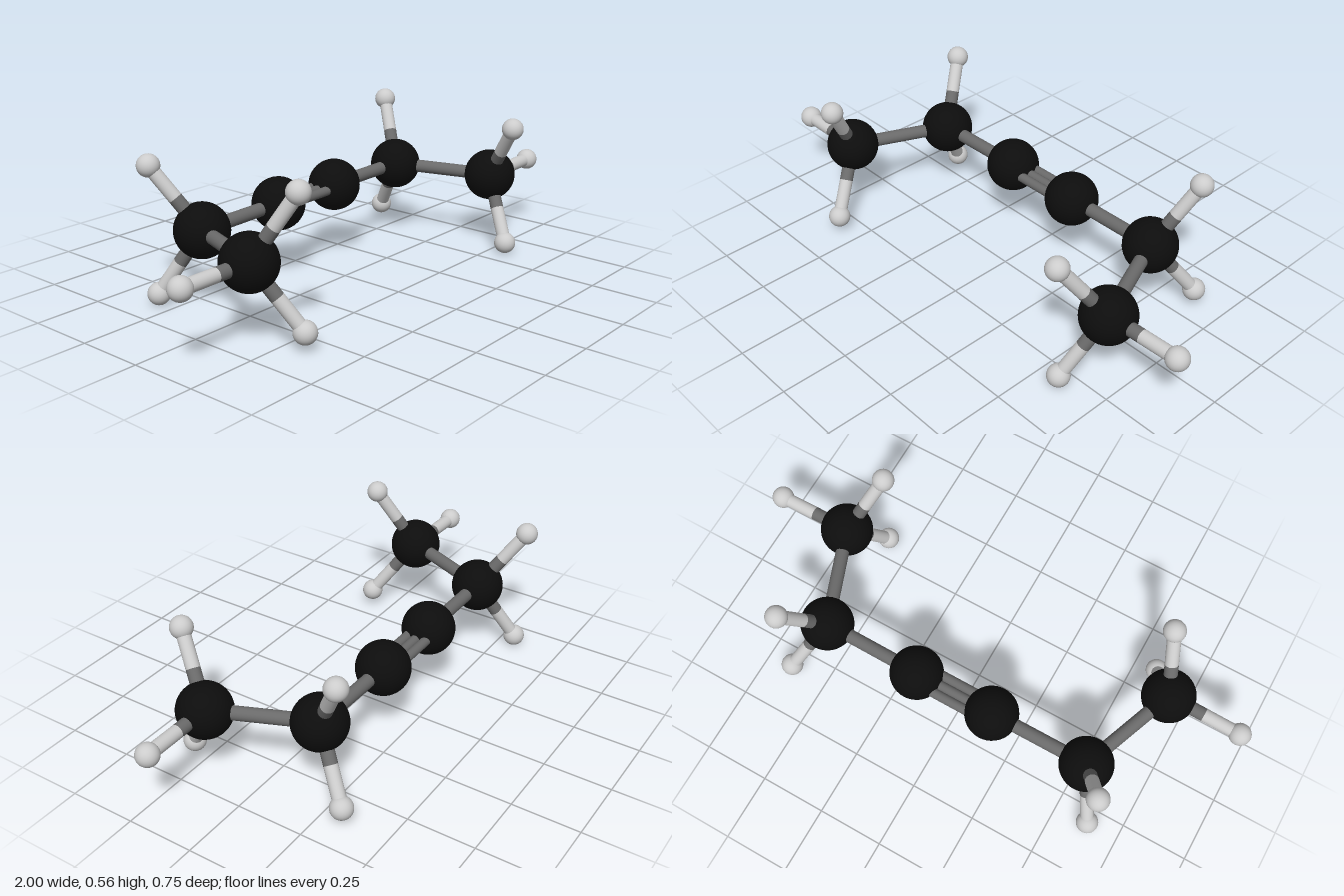
import * as THREE from 'three';

const MID_Y = 0.2815;
const paint = (color) => new THREE.MeshStandardMaterial({ color });
const carbonMat = paint(0x0d0d0d);
const darkBondMat = paint(0x6a6a6a);
const lightMat = paint(0xcccccc);

const carbonGeo = new THREE.SphereGeometry(0.0985, 40, 28);
const hydrogenGeo = new THREE.SphereGeometry(0.041, 28, 20);
const UP = new THREE.Vector3(0, 1, 0);

function atom(name, geometry, material, position) {
  const mesh = new THREE.Mesh(geometry, material);
  mesh.name = name;
  mesh.position.copy(position);
  return mesh;
}

// Round stick between two points
function stick(name, a, b, radius, material) {
  const dir = b.clone().sub(a);
  const geometry = new THREE.CylinderGeometry(radius, radius, dir.length(), 24);
  const mesh = new THREE.Mesh(geometry, material);
  mesh.name = name;
  mesh.position.copy(a).add(b).multiplyScalar(0.5);
  mesh.quaternion.setFromUnitVectors(UP, dir.normalize());
  return mesh;
}

// One half of the chain; heights are relative to the middle
function halfChain() {
  const half = new THREE.Group();
  const v = (x, y, z) => new THREE.Vector3(x, y, z);
  const middle = v(0.155, 0.001, -0.186);
  const inner = v(0.535, 0.0055, -0.184);
  const end = v(0.676, -0.0055, 0.18);

  for (const [name, p] of [['middleCarbon', middle], ['innerCarbon', inner], ['endCarbon', end]]) {
    half.add(atom(name, carbonGeo, carbonMat, p));
  }
  half.add(stick('carbonBond', middle, inner, 0.025, darkBondMat));
  half.add(stick('carbonBond', inner, end, 0.025, darkBondMat));

  // Hydrogens on two-tone sticks: dark near the carbon, light outside
  const hydrogens = [
    [inner, v(0.628, 0.241, -0.313)],
    [inner, v(0.633, -0.217, -0.331)],
    [end, v(0.588, 0.218, 0.332)],
    [end, v(0.593, -0.24, 0.315)],
    [end, v(0.959, -0.002, 0.176)],
  ];
  for (const [carbon, h] of hydrogens) {
    const mid = carbon.clone().lerp(h, 0.5);
    half.add(stick('hydrogenBondInner', carbon, mid, 0.025, darkBondMat));
    half.add(stick('hydrogenBondOuter', mid, h, 0.025, lightMat));
    half.add(atom('hydrogen', hydrogenGeo, lightMat, h));
  }
  return half;
}

export function createModel() {
  const model = new THREE.Group();
  model.name = 'molecule';

  // The second half is the first turned 180 degrees about z
  for (const [name, turn] of [['leftHalf', 0], ['rightHalf', Math.PI]]) {
    const half = halfChain();
    half.name = name;
    half.position.y = MID_Y;
    half.rotation.z = turn;
    model.add(half);
  }

  // Triple bond: three thin sticks side by side
  for (const dz of [-0.036, 0, 0.036]) {
    const a = new THREE.Vector3(-0.155, MID_Y - 0.001, -0.186 + dz);
    const b = new THREE.Vector3(0.155, MID_Y + 0.001, -0.186 + dz);
    model.add(stick('tripleBond', a, b, 0.018, darkBondMat));
  }
  return model;
}
